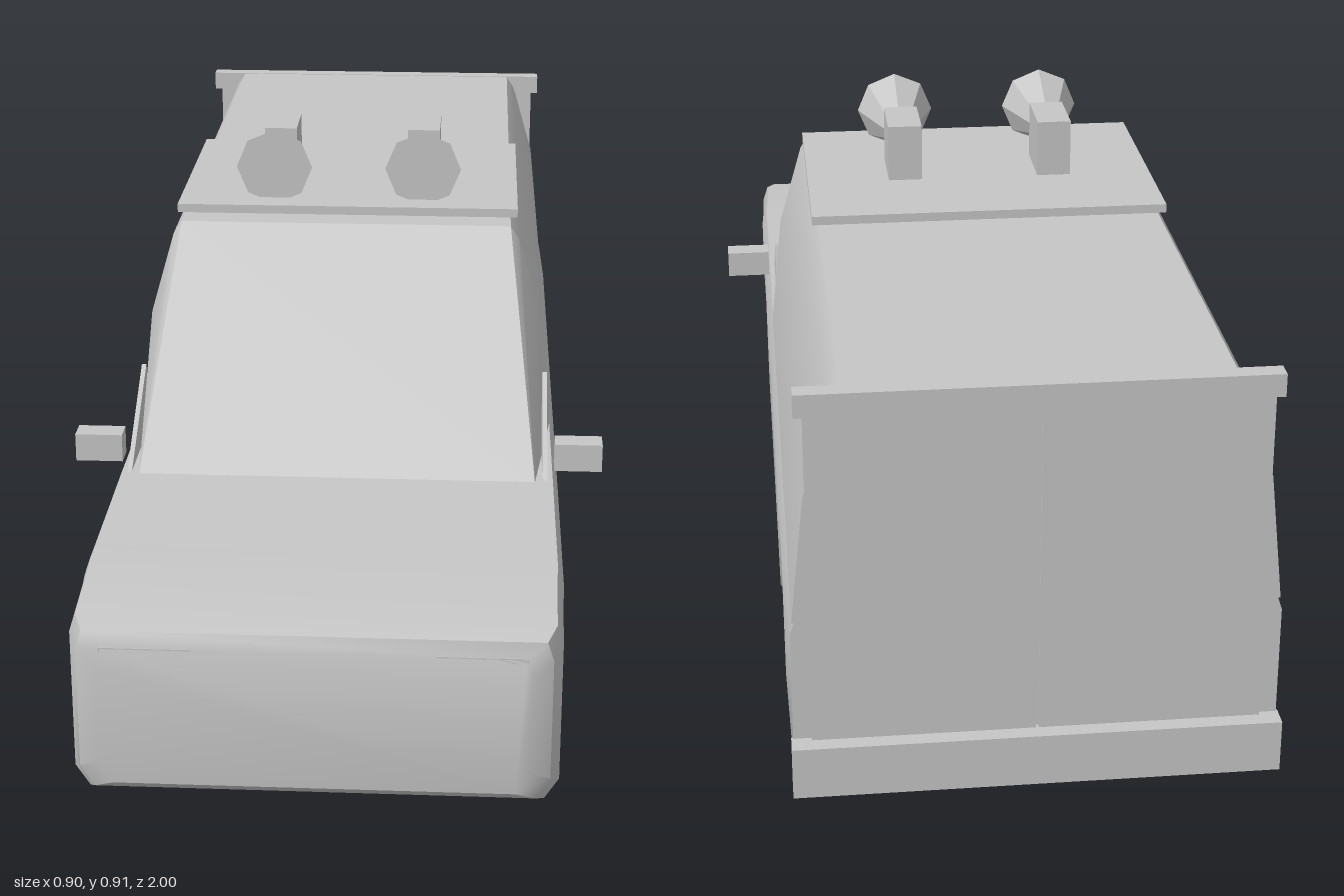
import * as THREE from 'three';
import { toCreasedNormals } from 'three/addons/utils/BufferGeometryUtils.js';

const paint = new THREE.MeshStandardMaterial({ color: 0xc6c6c6 });
paint.name = 'plain grey';

// Skins a list of rings (counter-clockwise seen from the front), ordered front to back.
function loft(rings, crease) {
  const n = rings[0].length, index = [];
  rings.slice(1).forEach((_, i) => {
    for (let j = 0; j < n; j++) {
      const k = (j + 1) % n;
      const a = i * n + j, b = i * n + k, c = b + n, d = a + n;
      index.push(a, d, c, a, c, b);
    }
  });
  const last = (rings.length - 1) * n;
  for (let j = 1; j < n - 1; j++) index.push(0, j, j + 1, last, last + j + 1, last + j);
  const geo = new THREE.BufferGeometry();
  geo.setAttribute('position', new THREE.Float32BufferAttribute(rings.flat(2), 3));
  geo.setIndex(index);
  return toCreasedNormals(geo, crease);
}

// Mirrors one side (bottom to top) into a whole ring at depth z.
function ring(side, z) {
  const right = side.map(([x, y]) => [x, y, z]);
  const left = side.map(([x, y]) => [-x, y, z]).reverse();
  return [...right, ...left];
}

function add(parent, name, geo, x = 0, y = 0, z = 0) {
  const mesh = new THREE.Mesh(geo, paint);
  mesh.name = name;
  mesh.position.set(x, y, z);
  parent.add(mesh);
  return mesh;
}

// Box given by its limits on each axis.
function block(parent, name, [x0, x1], [y0, y1], [z0, z1]) {
  return add(parent, name, new THREE.BoxGeometry(x1 - x0, y1 - y0, z1 - z0),
    (x0 + x1) / 2, (y0 + y1) / 2, (z0 + z1) / 2);
}

function lowerBody() {
  // Each station: z, underside height, top height, half width
  const stations = [
    [1, 0.135, 0.36, 0.325], [0.985, 0.12, 0.382, 0.355], [0.945, 0.097, 0.39, 0.37],
    [0.80, 0.138, 0.399, 0.373], [0.775, 0.21, 0.4, 0.375], [0.735, 0.258, 0.4, 0.375],
    [0.68, 0.28, 0.401, 0.375], [0.61, 0.28, 0.402, 0.375], [0.55, 0.258, 0.403, 0.375],
    [0.515, 0.21, 0.404, 0.375], [0.49, 0.14, 0.404, 0.375], [0.455, 0.097, 0.405, 0.375],
    [0.17, 0.097, 0.405, 0.375], [-0.39, 0.097, 0.405, 0.375], [-0.43, 0.14, 0.405, 0.375],
    [-0.455, 0.21, 0.405, 0.375], [-0.49, 0.25, 0.405, 0.375], [-0.55, 0.278, 0.405, 0.375],
    [-0.64, 0.278, 0.405, 0.375], [-0.695, 0.255, 0.405, 0.375], [-0.73, 0.2, 0.405, 0.375],
    [-0.75, 0.14, 0.405, 0.375], [-0.968, 0.1, 0.405, 0.37],
  ];
  return loft(stations.map(([z, lo, hi, w]) => ring([
    [w - 0.022, lo], [w, lo + 0.035], [w, hi - 0.03], [w - 0.01, hi],
  ], z)), 0.6);
}

function cabin() {
  const side = [[0.367, 0.395], [0.345, 0.6], [0.303, 0.745], [0.288, 0.768]];
  const base = side.map(() => [0.335, 0.402]);   // foot of the windshield
  return loft([ring(base, 0.45), ring(side, 0.17), ring(side, -0.968)], 0.45);
}

function wheelGeometry() {
  // Radius and axial position, with a recessed rim on both faces
  const profile = [
    [0, -0.02], [0.095, -0.02], [0.097, -0.036], [0.122, -0.037], [0.134, -0.022],
    [0.136, 0], [0.134, 0.022], [0.122, 0.037], [0.097, 0.036], [0.095, 0.02], [0, 0.02],
  ].map(([r, a]) => new THREE.Vector2(r, a));
  const geo = new THREE.LatheGeometry(profile, 16);
  geo.rotateZ(-Math.PI / 2);
  return toCreasedNormals(geo, 0.6);
}

function quarterWindow() {
  const shape = new THREE.Shape([[-0.45, 0.4], [-0.2, 0.4], [-0.24, 0.525]].map(p => new THREE.Vector2(...p)));
  const geo = new THREE.ExtrudeGeometry(shape, { depth: 0.008, bevelEnabled: false });
  return geo.rotateY(Math.PI / 2);
}

export function createModel() {
  const van = new THREE.Group();
  van.name = 'loudspeakerVan';

  add(van, 'lowerBody', lowerBody());
  add(van, 'cabin', cabin());

  // Rear doors with a centre seam, roof bar and bumper
  block(van, 'rearDoorLeft', [0.002, 0.342], [0.13, 0.735], [-0.975, -0.964]);
  block(van, 'rearDoorRight', [-0.342, -0.002], [0.13, 0.735], [-0.975, -0.964]);
  block(van, 'rearRoofBar', [-0.355, 0.355], [0.733, 0.769], [-0.978, -0.948]);
  block(van, 'rearBumper', [-0.373, 0.373], [0.11, 0.195], [-1, -0.965]);

  // Roof platform carrying the loudspeakers
  block(van, 'roofPlatform', [-0.3, 0.3], [0.772, 0.787], [-0.315, 0.13]);
  block(van, 'platformMount', [-0.25, 0.25], [0.76, 0.773], [-0.28, 0.1]);

  const wheel = wheelGeometry();
  const pane = quarterWindow();
  const horn = new THREE.CylinderGeometry(0.067, 0.025, 0.115, 8).toNonIndexed();
  horn.rotateX(Math.PI / 2);
  horn.computeVertexNormals();

  for (const s of [1, -1]) {
    const label = s > 0 ? 'Left' : 'Right';
    const span = (a, b) => (s > 0 ? [a, b] : [-b, -a]);
    add(van, 'frontWheel' + label, wheel, s * 0.298, 0.135, 0.645);
    add(van, 'rearWheel' + label, wheel, s * 0.298, 0.135, -0.595);
    add(van, 'quarterWindow' + label, pane, s * 0.352 - 0.004, 0, 0);
    block(van, 'sideMirror' + label, span(0.368, 0.448), [0.411, 0.459], [0.37, 0.412]);
    block(van, 'headlightSlit' + label, span(0.182, 0.318), [0.353, 0.362], [0.985, 1]);
    block(van, 'speakerBox' + label, span(0.101, 0.159), [0.785, 0.884], [-0.147, -0.035]);
    add(van, 'speakerHorn' + label, horn, s * 0.132, 0.843, 0.022);
  }
  return van;
}
